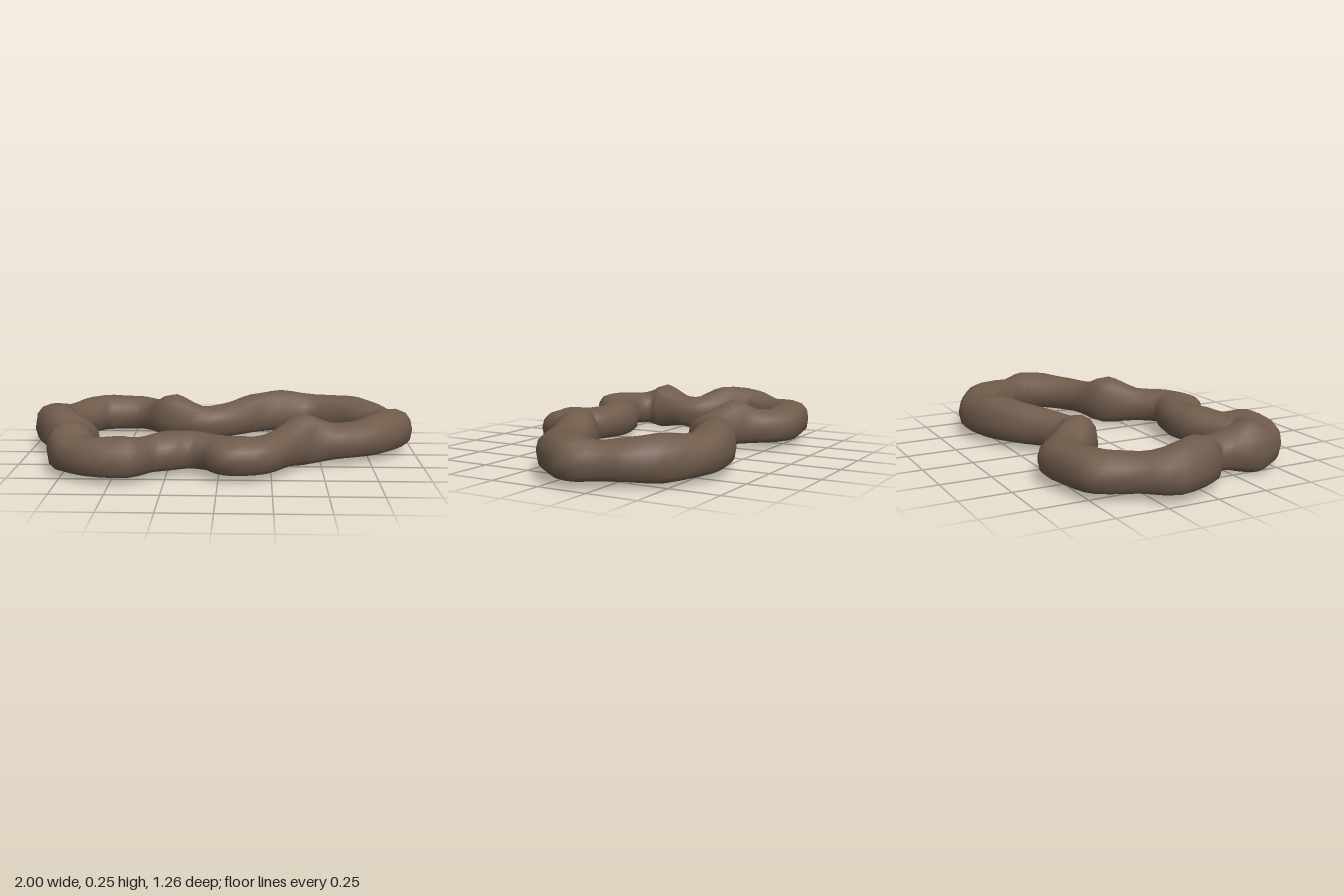
import * as THREE from 'three';

// Plan of the loop, clockwise from its right end: centre x, centre z, half width
const PLAN = [
  [-0.88, -0.16, 0.118], [-0.81, -0.28, 0.1], [-0.72, -0.43, 0.115], [-0.62, -0.475, 0.1],
  [-0.46, -0.49, 0.112], [-0.36, -0.42, 0.1], [-0.27, -0.32, 0.1], [-0.11, -0.265, 0.092],
  [0.03, -0.32, 0.1], [0.17, -0.43, 0.1], [0.33, -0.50, 0.104], [0.51, -0.525, 0.108],
  [0.69, -0.43, 0.115], [0.79, -0.32, 0.116], [0.85, -0.21, 0.094], [0.885, -0.12, 0.112],
  [0.82, -0.01, 0.112], [0.71, 0.09, 0.11], [0.56, 0.155, 0.107], [0.41, 0.195, 0.1],
  [0.295, 0.32, 0.094], [0.185, 0.445, 0.115], [0.06, 0.46, 0.128], [-0.015, 0.395, 0.112],
  [-0.135, 0.355, 0.1], [-0.25, 0.385, 0.114], [-0.355, 0.45, 0.094], [-0.43, 0.53, 0.1],
  [-0.58, 0.515, 0.096], [-0.68, 0.45, 0.1], [-0.715, 0.35, 0.118], [-0.69, 0.21, 0.092],
  [-0.71, 0.11, 0.088], [-0.82, 0.01, 0.105],
];
// Crest and underside height at each of those stations
const HEIGHTS = [
  [0.24, 0.033], [0.21, 0.035], [0.22, 0.033], [0.22, 0.033], [0.21, 0.033], [0.21, 0.035],
  [0.26, 0.033], [0.205, 0.035], [0.21, 0.033], [0.24, 0.033], [0.25, 0.03], [0.22, 0.033],
  [0.235, 0.02], [0.22, 0.033], [0.21, 0.035], [0.23, 0.03], [0.225, 0.033], [0.21, 0.033],
  [0.21, 0.033], [0.268, 0.012], [0.21, 0.033], [0.205, 0.033], [0.21, 0.033], [0.2, 0.035],
  [0.21, 0.033], [0.215, 0.033], [0.2, 0.033], [0.225, 0.033], [0.215, 0.033], [0.21, 0.033],
  [0.26, 0.01], [0.205, 0.033], [0.205, 0.01], [0.255, 0.03],
];
const STEPS = PLAN.length * 3, SIDES = 14, MIDDLE = 0.12;

function closedCurve(points) {
  return new THREE.CatmullRomCurve3(points, true, 'catmullrom', 0.4);
}

function signedPower(value, power) {
  return Math.sign(value) * Math.abs(value) ** power;
}

// Lumpy closed tube with a flattened underside
function ringGeometry() {
  const path = closedCurve(PLAN.map(([x, z]) => new THREE.Vector3(x, 0, z)));
  const size = closedCurve(PLAN.map(([, , r], i) => new THREE.Vector3(r, ...HEIGHTS[i])));
  const positions = [], indices = [];
  for (let i = 0; i < STEPS; i++) {
    const u = i / STEPS;
    const c = path.getPoint(u), s = size.getPoint(u);
    // a wide difference keeps the sections from crossing in tight bends
    const t = path.getPoint((u + 0.02) % 1).sub(path.getPoint((u + 0.98) % 1)).normalize();
    for (let j = 0; j < SIDES; j++) {
      const a = (j / SIDES) * Math.PI * 2;
      // slight unevenness of the surface
      const lump = 1 + 0.025 * Math.sin(i * 1.3 + 2 * a) * Math.sin(i * 0.47 + 3 * a);
      const across = signedPower(Math.cos(a), 0.85) * s.x * lump;
      const rise = Math.sin(a);
      const y = rise >= 0
        ? MIDDLE + (s.y - MIDDLE) * rise ** 0.85 * lump
        : MIDDLE + (MIDDLE - s.z) * signedPower(rise, 0.65);
      positions.push(c.x + t.z * across, y, c.z - t.x * across);
      const i2 = (i + 1) % STEPS, j2 = (j + 1) % SIDES;
      const p = i * SIDES + j, q = i * SIDES + j2, r = i2 * SIDES + j, w = i2 * SIDES + j2;
      indices.push(p, q, r, q, w, r);
    }
  }
  const geometry = new THREE.BufferGeometry();
  geometry.setAttribute('position', new THREE.Float32BufferAttribute(positions, 3));
  geometry.setIndex(indices);
  geometry.computeVertexNormals();
  return geometry;
}

export function createModel() {
  const group = new THREE.Group();
  group.name = 'rockBorder';
  const earthBrown = new THREE.MeshStandardMaterial({ color: 0x705c4c });
  earthBrown.name = 'earthBrown';
  const border = new THREE.Mesh(ringGeometry(), earthBrown);
  border.name = 'borderRing';
  group.add(border);
  return group;
}
